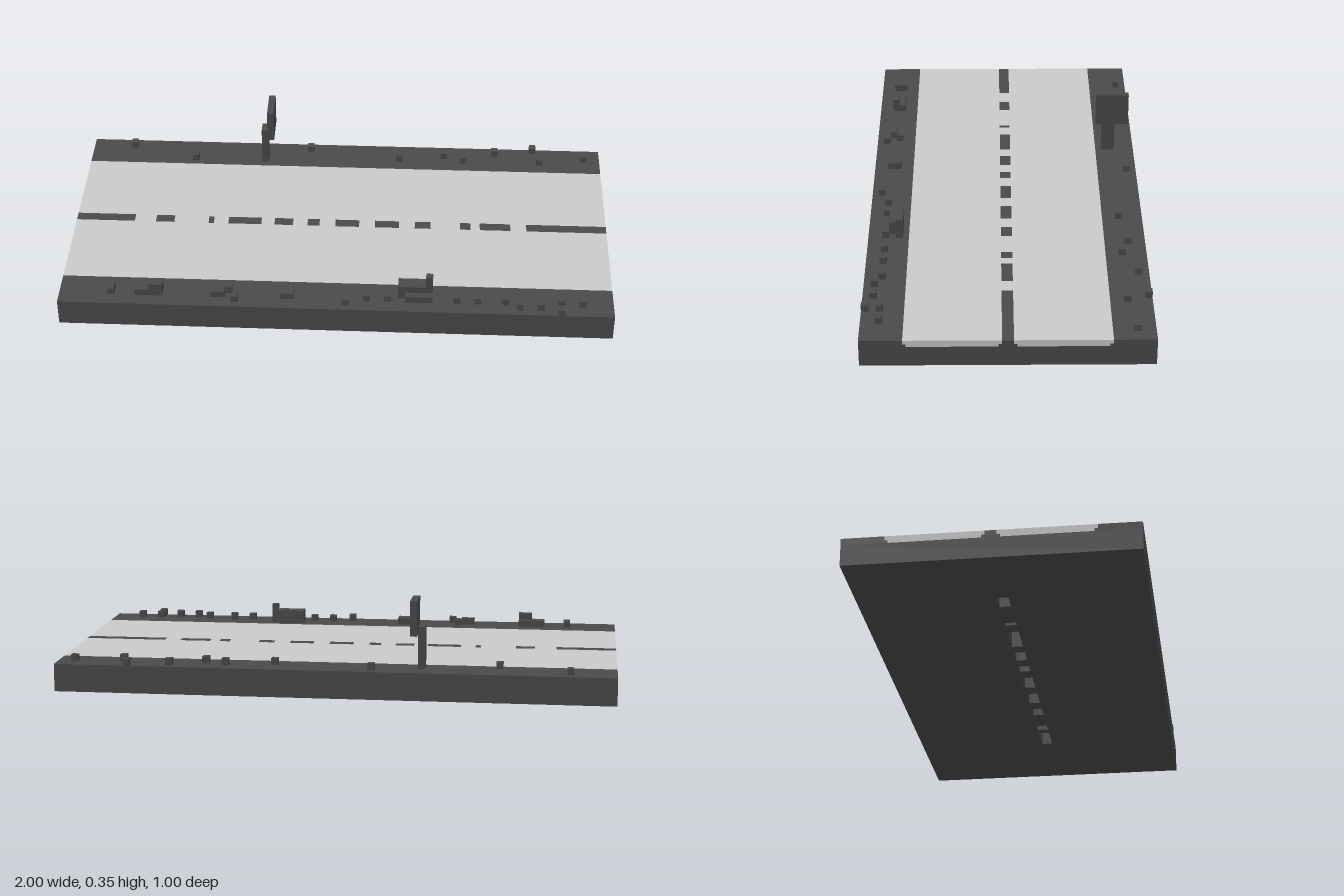
import * as THREE from 'three';

export function createModel() {
  const model = new THREE.Group();
  const asphalt = new THREE.MeshStandardMaterial({ color: 0x4a4a4a });
  asphalt.name = 'charcoal';
  const paving = new THREE.MeshStandardMaterial({ color: 0xcacaca });
  paving.name = 'light grey';

  // Box given by its minimum and maximum along each axis
  function box(name, mat, x0, x1, y0, y1, z0, z1, parent = model) {
    const mesh = new THREE.Mesh(new THREE.BoxGeometry(x1 - x0, y1 - y0, z1 - z0), mat);
    mesh.position.set((x0 + x1) / 2, (y0 + y1) / 2, (z0 + z1) / 2);
    mesh.name = name;
    parent.add(mesh);
    return mesh;
  }
  function group(name) {
    const g = new THREE.Group();
    g.name = name;
    model.add(g);
    return g;
  }

  const H = 0.1, W = 0.02;
  // Centre line dashes along x
  const dashes = [
    [-1, -0.78], [-0.7, -0.63], [-0.5, -0.48], [-0.425, -0.3], [-0.25, -0.18], [-0.125, -0.08],
    [-0.02, 0.07], [0.13, 0.22], [0.28, 0.34], [0.45, 0.49], [0.525, 0.64], [0.7, 1],
  ];

  // Base slab, with slots underneath the inner dashes
  const rect = (T, x0, x1, y0, y1) => {
    const s = new T();
    s.moveTo(x0, y0).lineTo(x1, y0).lineTo(x1, y1).lineTo(x0, y1).closePath();
    return s;
  };
  const slab = rect(THREE.Shape, -1, 1, -0.5, 0.5);
  dashes.slice(1, -1).forEach(([a, b]) => slab.holes.push(rect(THREE.Path, a, b, -W, W)));
  const baseGeo = new THREE.ExtrudeGeometry(slab, { depth: 0.075, bevelEnabled: false });
  baseGeo.rotateX(-Math.PI / 2);
  const base = new THREE.Mesh(baseGeo, asphalt);
  base.name = 'base';
  model.add(base);

  // Kerbs and stepped road lanes on both sides
  const lane = new THREE.Shape([
    [0.032, 0.075], [0.342, 0.075], [0.342, 0.085], [0.353, 0.085],
    [0.353, H], [W, H], [W, 0.085], [0.032, 0.085],
  ].map(([x, y]) => new THREE.Vector2(x, y)));
  const laneGeo = new THREE.ExtrudeGeometry(lane, { depth: 2, bevelEnabled: false });
  laneGeo.translate(0, 0, -1);
  for (const s of [1, -1]) {
    const road = new THREE.Mesh(laneGeo, paving);
    road.rotation.y = -s * Math.PI / 2;
    road.name = s > 0 ? 'frontLane' : 'backLane';
    model.add(road);
    const span = (a, b) => (s > 0 ? [a, b] : [-b, -a]);
    box('kerb', asphalt, -1, 1, 0.075, H, ...span(0.353, 0.5));
    box('kerbFoot', asphalt, -1, 1, 0.075, 0.085, ...span(0.342, 0.353));
  }

  // Spine, dashes and the light gaps between them
  box('spine', asphalt, -1, 1, 0.075, 0.085, -0.032, 0.032);
  const line = group('centreLine');
  dashes.forEach(([a, b], i) => {
    box('dash', asphalt, a, b, 0.085, H, -W, W, line);
    const next = dashes[i + 1];
    if (next) box('dashGap', paving, b, next[0], 0.085, H, -W, W, line);
  });

  // Signpost on the back verge
  const sign = group('signpost');
  box('post', asphalt, -0.325, -0.3, H, 0.25, -0.425, -0.375, sign);
  box('panel', asphalt, -0.3, -0.275, 0.225, 0.35, -0.475, -0.35, sign);

  // Single stones: x and z of the centre
  const stones = group('stones');
  const U = 0.0125;
  [
    [-0.8375, -0.4625], [-0.5875, -0.3875], [-0.1375, -0.4625], [0.2125, -0.4125],
    [0.3875, -0.4375], [0.4625, -0.4125], [0.5875, -0.4625], [0.7375, -0.4875],
    [0.7625, -0.4125], [0.9375, -0.4375],
    [-0.3625, 0.4625], [0.0375, 0.4625], [0.1125, 0.4375], [0.1875, 0.4375],
    [0.4375, 0.4375], [0.5125, 0.4375], [0.6125, 0.4375], [0.6625, 0.4625],
    [0.7375, 0.4625], [0.8125, 0.4375], [0.8125, 0.4875], [0.8875, 0.4375],
  ].forEach(([x, z]) => box('stone', asphalt, x - U, x + U, H, H + 2 * U, z - U, z + U, stones));

  // Rubble piles on the front verge: x range, y range, z range
  const rubble = group('rubble');
  [
    [-0.825, -0.8, 0.1, 0.125, 0.4, 0.45],
    [-0.725, -0.625, 0.1, 0.125, 0.4, 0.45],
    [-0.675, -0.625, 0.125, 0.15, 0.425, 0.45],
    [-0.45, -0.4, 0.1, 0.125, 0.425, 0.45],
    [-0.4, -0.375, 0.1, 0.125, 0.4, 0.425],
    [-0.2, -0.15, 0.1, 0.125, 0.4, 0.45],
    [0.25, 0.35, 0.1, 0.125, 0.425, 0.45],
    [0.225, 0.325, 0.1, 0.15, 0.4, 0.425],
    [0.225, 0.325, 0.1, 0.15, 0.375, 0.4],
    [0.325, 0.35, 0.1, 0.175, 0.375, 0.4],
  ].forEach((r) => box('rubbleBlock', asphalt, ...r, rubble));

  return model;
}
